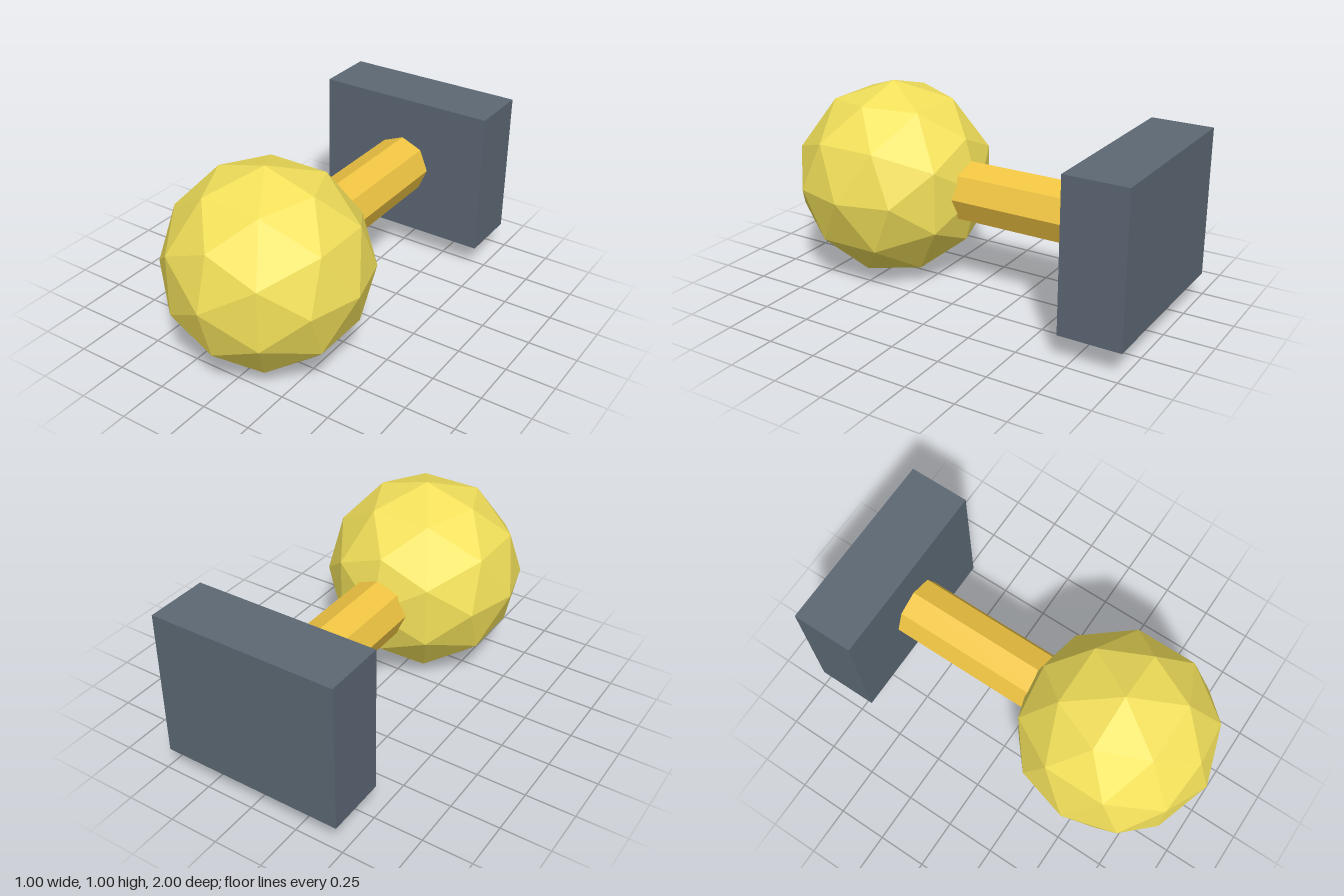
import * as THREE from 'three';

const CENTER_Y = 0.5;

export function createModel() {
  const group = new THREE.Group();

  const add = (name, geometry, color, z) => {
    const material = new THREE.MeshStandardMaterial({ color, flatShading: true });
    const mesh = new THREE.Mesh(geometry, material);
    mesh.name = name;
    mesh.position.set(0, CENTER_Y, z);
    group.add(mesh);
  };

  // Faceted ball at the front
  add('knob', new THREE.IcosahedronGeometry(0.5, 1), 0xf2e05a, 0.5);

  // Eight-sided rod along z, running from the plate into the ball
  const back = -0.69, front = 0.2;
  const rod = new THREE.CylinderGeometry(0.156, 0.156, front - back, 8).rotateX(Math.PI / 2);
  add('stem', rod, 0xf0c542, (front + back) / 2);

  // Mounting block at the back
  add('backPlate', new THREE.BoxGeometry(0.9375, 0.75, 0.3125), 0x5c6874, -0.844);

  return group;
}
